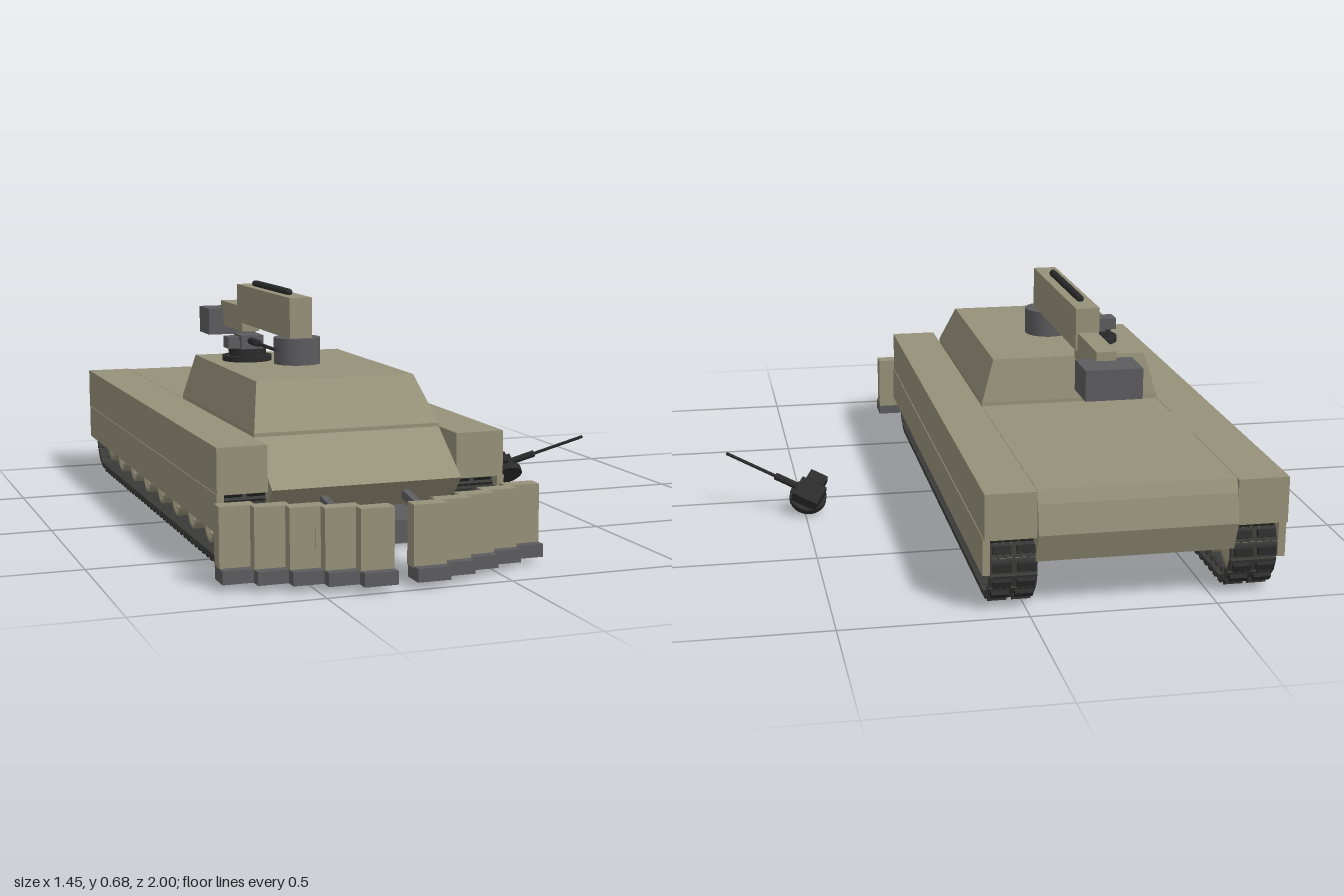
import * as THREE from 'three';
import { ConvexGeometry } from 'three/addons/geometries/ConvexGeometry.js';

const mat = (name, color) => Object.assign(new THREE.MeshStandardMaterial({ color }), { name });

export function createModel() {
  const olive = mat('olive paint', 0x969179);
  const grey = mat('dark grey steel', 0x5c5c5f);
  const black = mat('black gunmetal', 0x2b2b2c);
  const rubber = mat('track steel', 0x3a3a39);

  const model = new THREE.Group();
  model.name = 'model';
  const vehicle = new THREE.Group();
  vehicle.name = 'vehicle';
  vehicle.position.x = -0.285;
  model.add(vehicle);

  const add = (parent, name, geo, material) => {
    const m = new THREE.Mesh(geo, material);
    m.name = name;
    parent.add(m);
    return m;
  };
  // box given by its limits on each axis
  const box = (parent, name, material, x0, x1, y0, y1, z0, z1) => {
    const m = add(parent, name, new THREE.BoxGeometry(Math.abs(x1 - x0), y1 - y0, z1 - z0), material);
    m.position.set((x0 + x1) / 2, (y0 + y1) / 2, (z0 + z1) / 2);
    return m;
  };
  // side profile of [z, y] points, extruded across x
  const slab = (points, width) => {
    const shape = new THREE.Shape(points.map(p => new THREE.Vector2(...p)));
    return new THREE.ExtrudeGeometry(shape, { depth: width, bevelEnabled: false })
      .translate(0, 0, -width / 2).rotateY(-Math.PI / 2);
  };

  // hull between the tracks
  add(vehicle, 'hull', slab([
    [0.55, 0.335], [0.71, 0.22], [0.6, 0.1], [-0.86, 0.1], [-0.97, 0.14],
    [-1, 0.22], [-0.985, 0.3], [-0.97, 0.335],
  ], 0.53), olive);

  // turret: tapered block
  const ring = (x, y, back, front) => [-x, x].flatMap(
    s => [new THREE.Vector3(s, y, back), new THREE.Vector3(s, y, front)]);
  add(vehicle, 'turret', new ConvexGeometry([
    ...ring(0.265, 0.33, -0.22, 0.55), ...ring(0.265, 0.345, -0.22, 0.55),
    ...ring(0.228, 0.47, -0.2, 0.45),
  ]), olive);

  // running gear
  const wheelProfile = [
    [0, 0.036], [0.018, 0.036], [0.02, 0.03], [0.026, 0.022], [0.04, 0.022], [0.046, 0.034],
    [0.06, 0.034], [0.06, -0.034], [0.046, -0.034], [0.04, -0.022], [0.018, -0.022], [0, -0.03],
  ].reverse().map(p => new THREE.Vector2(...p));
  const wheelGeo = new THREE.LatheGeometry(wheelProfile, 20).rotateZ(-Math.PI / 2);
  const boltGeo = new THREE.CylinderGeometry(0.006, 0.006, 0.012, 6).rotateZ(Math.PI / 2);
  const wheel = (parent, name, side, y, z, scale) => {
    const g = new THREE.Group();
    g.name = name;
    g.position.set(0, y, z);
    g.scale.set(side, scale, scale);
    const disc = add(g, 'wheelDisc', wheelGeo, olive);
    if (side < 0) { disc.rotation.y = Math.PI; g.scale.x = 1; }
    for (let i = 0; i < 6; i++) {
      const a = i * Math.PI / 3;
      add(g, 'wheelBolt', boltGeo, olive)
        .position.set(side * 0.026, 0.034 * Math.cos(a), 0.034 * Math.sin(a));
    }
    parent.add(g);
  };

  // point and angle at distance s along the stadium-shaped track loop
  const zf = 0.56, zr = -0.855, yc = 0.126, r = 0.104;
  const run = zf - zr, arc = Math.PI * r, loop = 2 * (run + arc);
  const trackAt = s => {
    if (s < run) return [zr + s, yc - r, 0];
    s -= run;
    if (s < arc) return [zf + r * Math.sin(s / r), yc - r * Math.cos(s / r), s / r];
    s -= arc;
    if (s < run) return [zf - s, yc + r, Math.PI];
    s = (s - run) / r;
    return [zr - r * Math.sin(s), yc + r * Math.cos(s), Math.PI + s];
  };
  const links = 84, pitch = loop / links;
  const linkGeo = new THREE.BoxGeometry(0.125, 0.014, pitch * 0.92);
  const padGeo = new THREE.BoxGeometry(0.048, 0.014, pitch * 0.5);
  const toothGeo = new THREE.BoxGeometry(0.012, 0.02, pitch * 0.4);

  for (const side of [-1, 1]) {
    // fender box and thin hanging skirt
    box(vehicle, 'fender', olive, side * 0.266, side * 0.403, 0.21, 0.335, -0.985, 0.675);
    box(vehicle, 'skirt', olive, side * 0.385, side * 0.405, 0.11, 0.213, -0.97, 0.678);

    const gear = new THREE.Group();
    gear.name = 'track';
    gear.position.x = side * 0.322;
    vehicle.add(gear);
    for (let i = 0; i < 7; i++) wheel(gear, 'roadWheel', side, 0.086, 0.42 - i * 0.187, 0.95);
    wheel(gear, 'idler', side, yc, zf, 1.45);
    wheel(gear, 'sprocket', side, yc, zr, 1.45);
    for (let i = 0; i < links; i++) {
      const [z, y, a] = trackAt(i * pitch);
      const link = new THREE.Group();
      link.name = 'trackLink';
      link.position.set(0, y, z);
      link.rotation.x = -a;
      add(link, 'linkPlate', linkGeo, rubber);
      for (const s of [-1, 1]) add(link, 'linkPad', padGeo, black).position.set(s * 0.032, -0.013, 0);
      add(link, 'guideTooth', toothGeo, rubber).position.set(-side * 0.045, 0.012, 0);
      gear.add(link);
    }
  }

  // stepped plough, two mirrored wings of five blades
  for (const side of [-1, 1]) {
    for (let i = 0; i < 5; i++) {
      const x1 = 0.44 - i * 0.081, x0 = i === 4 ? 0.026 : x1 - 0.095;
      const z = 0.78 + i * 0.036;
      box(vehicle, 'ploughBlade', olive, side * x0, side * x1, 0.05, 0.213, z, z + 0.047);
      box(vehicle, 'ploughEdge', grey, side * x0, side * x1, 0.02, 0.055, z + 0.005, z + 0.076);
    }
    box(vehicle, 'ploughBracket', olive, side * 0.17, side * 0.21, 0.06, 0.16, 0.835, 0.9);
    const arm = box(vehicle, 'ploughArm', grey, side * 0.105, side * 0.125, 0.155, 0.178, 0.68, 0.865);
    arm.rotation.x = 0.16;
  }
  box(vehicle, 'ploughMount', grey, -0.122, 0.122, 0.085, 0.145, 0.6, 0.835);

  // crane pedestal, boom and counterweight
  add(vehicle, 'boomPedestal', new THREE.CylinderGeometry(0.068, 0.068, 0.08, 28), grey)
    .position.set(0, 0.507, 0.1);
  box(vehicle, 'boom', olive, -0.034, 0.034, 0.545, 0.665, -0.415, 0.14);
  box(vehicle, 'boomExtension', olive, -0.028, 0.028, 0.515, 0.595, -0.63, -0.38);
  box(vehicle, 'boomEndBox', grey, -0.078, 0.08, 0.485, 0.57, -0.72, -0.6);
  const rod = add(vehicle, 'boomRod', new THREE.CapsuleGeometry(0.011, 0.345, 4, 10), black);
  rod.rotation.x = Math.PI / 2;
  rod.position.set(0, 0.672, -0.148);

  // remote weapon station, barrel along +z
  const station = (name, body) => {
    const g = new THREE.Group();
    g.name = name;
    add(g, 'stationBase', new THREE.CylinderGeometry(0.055, 0.055, 0.02, 24), black).position.y = 0.01;
    box(g, 'gunHousing', body, -0.027, 0.04, 0.018, 0.06, -0.045, 0.035);
    box(g, 'ammoBox', body, -0.065, -0.03, 0.022, 0.056, -0.03, 0.025);
    const tube = (part, rad, z0, z1) => {
      const m = add(g, part, new THREE.CylinderGeometry(rad, rad, z1 - z0, 10), black);
      m.rotation.x = Math.PI / 2;
      m.position.set(0.002, 0.044, (z0 + z1) / 2);
    };
    tube('barrelJacket', 0.011, 0.03, 0.11);
    tube('barrel', 0.005, 0.1, 0.275);
    return g;
  };
  add(vehicle, 'stationRing', new THREE.CylinderGeometry(0.073, 0.073, 0.018, 28), black)
    .position.set(-0.115, 0.477, -0.028);
  const mounted = station('weaponStation', grey);
  mounted.position.set(-0.115, 0.486, -0.025);
  vehicle.add(mounted);

  // spare station lying beside the vehicle, tilted
  const spare = station('spareWeaponStation', black);
  const d = new THREE.Vector3(0.85, 0.35, 0.4).normalize();
  const across = new THREE.Vector3(-0.05, 0.77, -0.63).cross(d).normalize();
  const up = d.clone().cross(across);
  spare.quaternion.setFromRotationMatrix(new THREE.Matrix4().makeBasis(across, up, d));
  spare.position.set(0.49, 0.042, -0.115);
  model.add(spare);

  return model;
}
